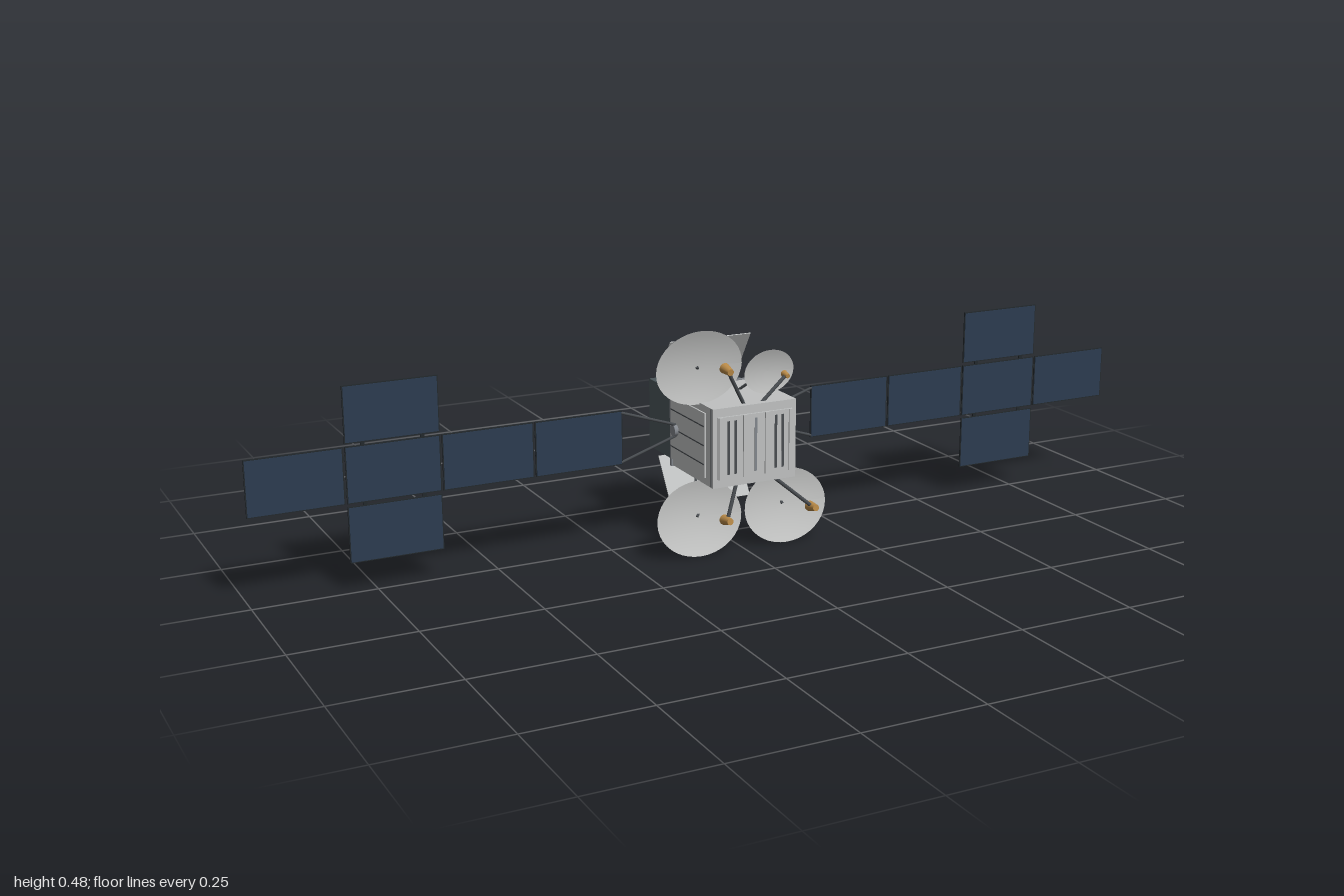
import * as THREE from 'three';
import { mergeGeometries } from 'three/addons/utils/BufferGeometryUtils.js';

function mat(name, color, side = THREE.FrontSide) {
  const m = new THREE.MeshStandardMaterial({ color, side });
  m.name = name;
  return m;
}

export function createModel() {
  const M = {
    shell: mat('light grey shell', 0xbfc1c1),
    dish: mat('dish grey', 0xc4c5c4, THREE.DoubleSide),
    bus: mat('dark slate', 0x4c575b),
    metal: mat('mid grey metal', 0x82868c),
    strut: mat('dark strut', 0x484c50),
    gold: mat('gold feed', 0xb98a48),
    cell: mat('navy solar cell', 0x2c3c50),
    back: mat('panel backing grey', 0x737b81),
    frame: mat('black frame', 0x22282c),
  };
  const root = new THREE.Group();
  root.name = 'satellite';
  const CY = 0.24; // height of the main axis

  const add = (name, geo, material, x = 0, y = 0, z = 0, parent = root) => {
    const m = new THREE.Mesh(geo, material);
    m.name = name;
    m.position.set(x, y, z);
    parent.add(m);
    return m;
  };
  const box = (name, w, h, d, material, x, y, z, parent) =>
    add(name, new THREE.BoxGeometry(w, h, d), material, x, y, z, parent);
  const rod = (name, a, b, r, material = M.strut) => {
    const p = new THREE.Vector3(...a), q = new THREE.Vector3(...b);
    const dir = q.clone().sub(p);
    const m = add(name, new THREE.CylinderGeometry(r, r, dir.length(), 8), material);
    m.position.copy(p).add(q).multiplyScalar(0.5);
    m.quaternion.setFromUnitVectors(new THREE.Vector3(0, 1, 0), dir.normalize());
    return m;
  };

  // Payload body with front plate and rear flange
  box('payloadBody', 0.19, 0.166, 0.19, M.shell, 0, CY, 0.065);
  box('frontPlate', 0.17, 0.13, 0.005, M.shell, 0, CY, 0.162);
  box('rearFlange', 0.196, 0.17, 0.008, M.metal, 0, CY, -0.03);
  for (const x of [-0.062, -0.046, 0, 0.046, 0.062])
    box('frontSlot', 0.005, 0.112, 0.002, x ? M.strut : M.metal, x, CY, 0.165);
  for (const x of [-0.08, -0.025, 0.025, 0.08])
    box('frontRib', 0.008, 0.13, 0.004, M.shell, x, CY, 0.1655);

  // Side radiators with dark grooves
  for (const s of [-1, 1]) {
    box('sideRadiator', 0.005, 0.136, 0.158, M.shell, s * 0.096, CY, 0.05);
    for (const dy of [-0.04, 0, 0.04])
      box('sideGroove', 0.002, 0.0025, 0.154, M.strut, s * 0.0985, CY + dy, 0.05);
    box('sideSeam', 0.001, 0.164, 0.002, M.strut, s * 0.0952, CY, 0.152);
  }

  // Rear service module and recessed engine ring
  box('serviceModule', 0.178, 0.15, 0.122, M.bus, 0, CY, -0.093);
  const ring = (name, pts, material) => {
    const g = new THREE.LatheGeometry(pts.map(p => new THREE.Vector2(...p)), 40);
    g.rotateX(-Math.PI / 2);
    return add(name, g, material, 0, CY, -0.153);
  };
  const ringMat = M.metal;
  ringMat.side = THREE.DoubleSide;
  ring('engineRing', [[0.065, 0], [0.065, 0.017]], ringMat);
  ring('engineRingFace', [[0.065, 0.017], [0.05, 0.017]], ringMat);
  ring('engineRingWall', [[0.05, 0.017], [0.046, 0.003]], M.bus).material.side = THREE.DoubleSide;
  ring('engineWell', [[0.046, 0.004], [0.034, 0.004]], M.bus);
  ring('enginePlate', [[0.036, 0.004], [0.034, 0.008], [0, 0.008]], ringMat);

  // Angled rear flaps, two leaves above and two below
  for (const v of [-1, 1])
    for (const s of [-1, 1]) {
      const f = box('rearFlap', 0.093, 0.115, 0.002, M.shell, s * 0.0475, CY + v * 0.131, -0.069);
      f.rotation.x = v * Math.atan2(0.062, 0.097);
      rod('flapHinge', [s * 0.06, CY + v * 0.07, -0.1], [s * 0.06, CY + v * 0.084, -0.099], 0.003);
    }

  // Dish reflector: an ellipse bulging backwards, its outer edge leaning forward
  const dish = (x, y, rx, ry, v, zc, lean, depth) => {
    const g = new THREE.RingGeometry(0, 1, 40, 8);
    const p = g.attributes.position;
    for (let i = 0; i < p.count; i++) {
      const a = p.getX(i), b = p.getY(i);
      p.setXYZ(i, a * rx, b * ry, lean * b * v - depth * (1 - a * a - b * b));
    }
    g.computeVertexNormals();
    add('dishReflector', g, M.dish, x, y, zc);
  };
  // Feed horn on an arm, opening toward its dish
  const feed = (at, foot, scale) => {
    const h = add('feedHorn', new THREE.CylinderGeometry(0.007 * scale, 0.011 * scale, 0.028 * scale, 16), M.gold, ...at);
    h.rotation.x = Math.PI / 2 + Math.sign(at[1] - CY) * 0.12;
    rod('feedArm', foot, at, 0.004);
  };
  const antennas = [
    { x: -0.1, y: 0.398, rx: 0.096, ry: 0.078, f: [-0.06, 0.399, 0.156], foot: [-0.016, 0.32, 0.143] },
    { x: -0.1, y: 0.08, rx: 0.096, ry: 0.079, f: [-0.06, 0.083, 0.156], foot: [-0.032, 0.16, 0.143] },
    { x: 0.1, y: 0.08, rx: 0.096, ry: 0.079, f: [0.14, 0.083, 0.156], foot: [0.05, 0.16, 0.143] },
    { x: 0.06, y: 0.372, rx: 0.057, ry: 0.047, f: [0.086, 0.368, 0.133], foot: [0.025, 0.32, 0.143] },
  ];
  for (const a of antennas) {
    const v = Math.sign(a.y - CY), s = Math.sign(a.x), k = a.rx / 0.096;
    dish(a.x, a.y, a.rx, a.ry, v, 0.11 - 0.004 * (1 - k), 0.009 * k, 0.0125 * k);
    feed(a.f, a.foot, k < 1 ? 0.65 : 1);
    for (const fx of [0.025, 0.075])
      rod('dishStrut', [a.x, a.y, 0.098], [s * fx, CY + v * 0.082, 0.04], 0.003);
  }

  // Solar wings: four panels in a row plus one above and one below the third
  const layout = [[0.317, 0], [0.512, 0], [0.707, 0], [0.902, 0], [0.707, 0.121], [0.707, -0.121]];
  const W = 0.191, H = 0.115, Z = -0.002;
  for (const s of [-1, 1]) {
    const wing = new THREE.Group();
    wing.name = s > 0 ? 'leftSolarWing' : 'rightSolarWing';
    root.add(wing);
    for (const [px, dy] of layout) {
      const x = s * px, y = CY + dy;
      box('panelFrame', W, H, 0.003, M.frame, x, y, Z, wing);
      box('solarCells', W - 0.004, H - 0.004, 0.001, M.cell, x, y, Z + 0.0018, wing);
      box('panelBacking', W - 0.004, H - 0.004, 0.001, M.back, x, y, Z - 0.0018, wing);
      // Rows of fasteners on the rear
      const dots = [];
      for (const r of [-1, 1])
        for (let i = 0; i < 9; i++)
          dots.push(new THREE.BoxGeometry(0.006, 0.002, 0.001).translate((i - 4) * 0.02, r * 0.042, 0));
      add('panelFasteners', mergeGeometries(dots), M.frame, x, y, Z - 0.0024, wing);
    }
    // Hinges between panels
    for (const hx of [0.4145, 0.6095, 0.8045])
      for (const dy of [-0.035, 0.035])
        box('panelHinge', 0.008, 0.008, 0.003, M.frame, s * hx, CY + dy, Z, wing);
    for (const dy of [-0.0605, 0.0605])
      for (const dx of [-0.06, 0.06])
        box('panelHinge', 0.008, 0.01, 0.003, M.frame, s * (0.707 + dx), CY + dy, Z, wing);
    // Forked yoke and drive hub
    for (const v of [-1, 1])
      rod('wingYoke', [s * 0.1, CY + v * 0.012, Z], [s * 0.224, CY + v * 0.053, Z], 0.003);
    const hub = add('driveHub', new THREE.CylinderGeometry(0.012, 0.012, 0.014, 20), M.metal, s * 0.1, CY, Z);
    hub.rotation.z = Math.PI / 2;
  }
  return root;
}
